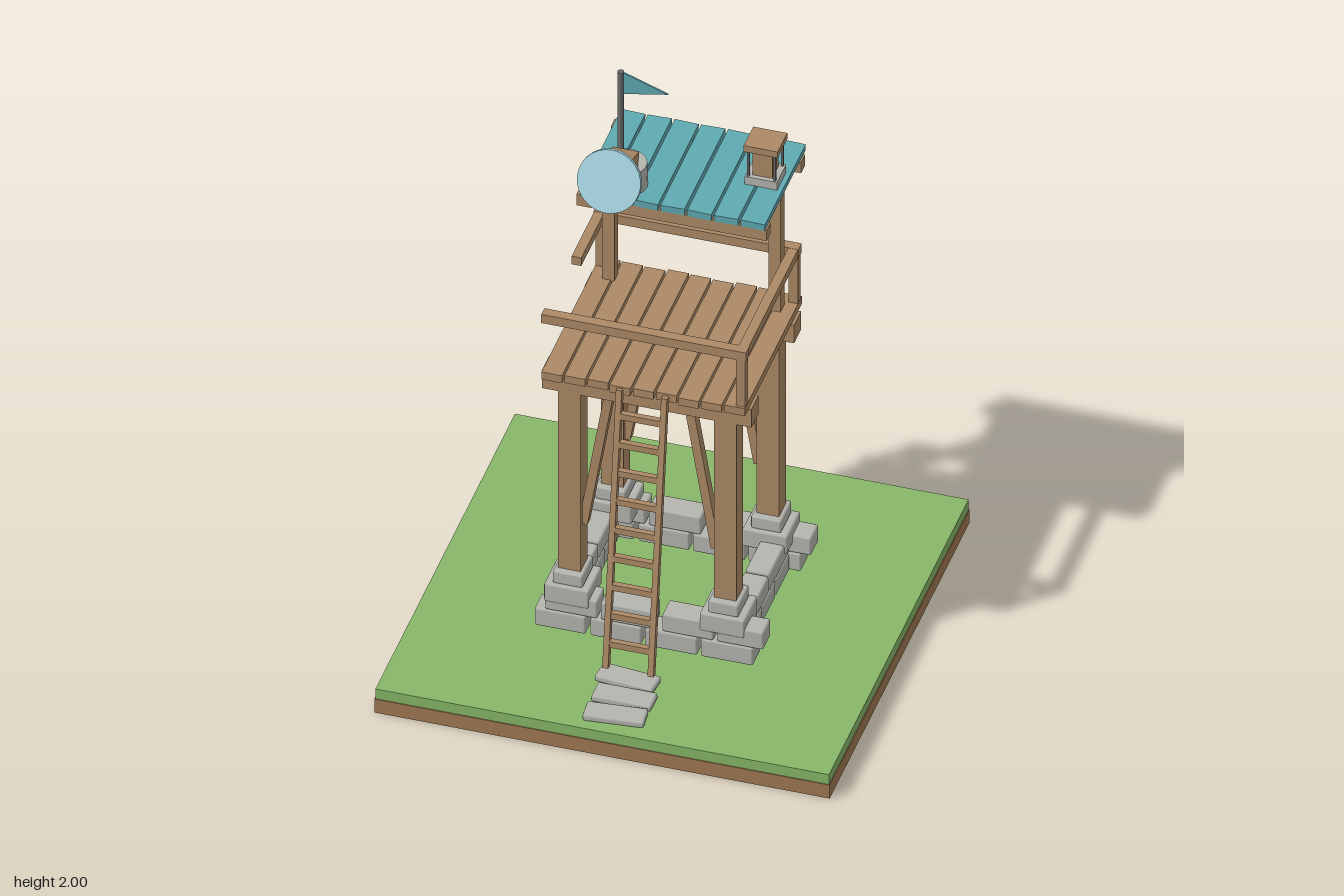
import * as THREE from 'three';
import { RoundedBoxGeometry } from 'three/addons/geometries/RoundedBoxGeometry.js';

const mat = (name, color, side = THREE.FrontSide) => {
  const m = new THREE.MeshStandardMaterial({ color, side });
  m.name = name;
  return m;
};

export function createModel() {
  const model = new THREE.Group();
  model.name = 'watchtower';
  const wood = mat('wood', 0xad8a66);
  const dirt = mat('dirt', 0xa07852);
  const grass = mat('grass', 0x87b868);
  const stone = mat('stone', 0xb5b5b0);
  const teal = mat('teal paint', 0x5faab2, THREE.DoubleSide);
  const glass = mat('pale blue', 0xa3d1dd);
  const metal = mat('dark metal', 0x6c6c6c);

  const group = (name, parent = model) => {
    const g = new THREE.Group();
    g.name = name;
    parent.add(g);
    return g;
  };
  const add = (parent, name, geo, material, x, y, z) => {
    const m = new THREE.Mesh(geo, material);
    m.name = name;
    m.position.set(x, y, z);
    parent.add(m);
    return m;
  };
  // Box given by its extents on each axis
  const box = (parent, name, material, x0, x1, y0, y1, z0, z1) =>
    add(parent, name, new THREE.BoxGeometry(x1 - x0, y1 - y0, z1 - z0), material,
      (x0 + x1) / 2, (y0 + y1) / 2, (z0 + z1) / 2);
  // Chamfered stone block given by its extents
  const block = (parent, name, x0, x1, y0, y1, z0, z1) =>
    add(parent, name, new RoundedBoxGeometry(x1 - x0, y1 - y0, z1 - z0, 1, 0.008), stone,
      (x0 + x1) / 2, (y0 + y1) / 2, (z0 + z1) / 2);
  // Square bar between two points
  const bar = (parent, name, a, b, w, d) => {
    const p = new THREE.Vector3(...a), q = new THREE.Vector3(...b);
    const c = p.clone().add(q).multiplyScalar(0.5);
    const m = add(parent, name, new THREE.BoxGeometry(w, p.distanceTo(q), d), wood, c.x, c.y, c.z);
    m.quaternion.setFromUnitVectors(new THREE.Vector3(0, 1, 0), q.sub(p).normalize());
    return m;
  };

  // Ground slab
  const ground = group('ground');
  box(ground, 'soil', dirt, -0.775, 0.775, 0, 0.055, -0.77, 0.77);
  box(ground, 'turf', grass, -0.772, 0.772, 0.055, 0.095, -0.767, 0.767);

  // Stone foundation ring: two staggered courses
  const foundation = group('foundation');
  const courses = [
    { y: 0.107, xs: [[-0.375, -0.2], [-0.185, -0.01], [0, 0.18], [0.19, 0.37]], zs: [[-0.22, -0.075], [-0.07, 0.07], [0.075, 0.22]] },
    { y: 0.18, xs: [[-0.34, -0.16], [-0.15, 0.03], [0.06, 0.235], [0.245, 0.405]], zs: [[-0.22, -0.005], [0.005, 0.22]] },
  ];
  for (const { y, xs, zs } of courses) {
    for (const s of [-1, 1]) {
      for (const [a, b] of xs) block(foundation, 'wallStone', a, b, y, y + 0.072, s * 0.263 - 0.042, s * 0.263 + 0.042);
      for (const [a, b] of zs) block(foundation, 'sideStone', s * 0.29 - 0.042, s * 0.29 + 0.042, y, y + 0.07, a, b);
    }
  }

  // Legs with footings, cross beams and diagonal braces
  const frame = group('frame');
  for (const sz of [-1, 1]) {
    const z = sz * 0.235;
    for (const sx of [-1, 1]) {
      const x = sx * 0.265;
      block(foundation, 'footing', x - 0.077, x + 0.077, 0.215, 0.288, z - 0.073, z + 0.073);
      block(foundation, 'footingCap', x - 0.052, x + 0.052, 0.285, 0.336, z - 0.06, z + 0.06);
      box(frame, 'leg', wood, x - 0.038, x + 0.038, 0.33, 1.08, z - 0.037, z + 0.037);
      bar(frame, 'brace', [sx * 0.225, 0.52, z], [sx * 0.135, 1.08, z], 0.03, 0.035);
    }
    box(frame, 'crossBeam', wood, -0.358, 0.355, 1.062, 1.136, z - 0.039, z + 0.039);
  }

  // Deck planks
  const deck = group('deck');
  for (let i = 0; i < 9; i++) {
    const x = (i - 4) * 0.0775;
    const d = (i % 3) * 0.004;
    box(deck, 'deckPlank', wood, x - 0.035, x + 0.035, 1.136, 1.166, -0.322 + d, 0.322 - d);
  }

  // Railing: open on part of the left side
  const railing = group('railing');
  for (const [x, z] of [[0.328, 0.29], [0.328, -0.288], [-0.328, -0.288]]) {
    box(railing, 'railPost', wood, x - 0.016, x + 0.016, 1.16, 1.36, z - 0.016, z + 0.016);
  }
  box(railing, 'frontRail', wood, -0.35, 0.347, 1.355, 1.39, 0.272, 0.307);
  box(railing, 'backRail', wood, -0.35, 0.347, 1.355, 1.39, -0.305, -0.27);
  box(railing, 'rightRail', wood, 0.312, 0.345, 1.356, 1.389, -0.3, 0.3);
  box(railing, 'leftRail', wood, -0.348, -0.315, 1.356, 1.389, -0.3, -0.02);

  // Ladder leaning on the front edge
  const ladder = group('ladder');
  const ladderZ = (y) => 0.475 - (y - 0.13) * 0.146;
  for (const s of [-1, 1]) {
    bar(ladder, 'ladderRail', [s * 0.077, 0.13, ladderZ(0.13)], [s * 0.077, 1.16, ladderZ(1.16)], 0.02, 0.024);
  }
  for (let i = 0; i < 9; i++) {
    const y = 0.22 + i * 0.1055;
    box(ladder, 'rung', wood, -0.075, 0.075, y - 0.012, y + 0.012, ladderZ(y) - 0.01, ladderZ(y) + 0.01);
  }

  // Stepping stones
  const path = group('path');
  for (const [x, z, turn] of [[0, 0.485, -0.1], [0.018, 0.582, 0], [0.018, 0.68, 0.09]]) {
    block(path, 'steppingStone', -0.102, 0.102, 0.093, 0.118, -0.041, 0.041)
      .position.set(x, 0.106, z);
    path.children.at(-1).rotation.y = turn;
  }

  // Plank roof on two posts
  const roof = group('roof');
  for (const s of [-1, 1]) {
    box(roof, 'roofPost', wood, s * 0.283 - 0.021, s * 0.283 + 0.021, 1.16, 1.655, -0.254, -0.212);
  }
  for (const z of [-0.03, -0.408]) {
    box(roof, 'roofBeam', wood, -0.328, 0.32, 1.612, 1.656, z - 0.022, z + 0.022);
  }
  for (let i = 0; i < 7; i++) {
    const x = (i - 3) * 0.091;
    const m = box(roof, 'roofPlank', teal, x - 0.041, x + 0.041, 1.655, 1.68, -0.455, -0.005);
    m.rotation.z = (i % 2 ? 1 : -1) * 0.03;
  }

  // Lantern
  const lantern = group('lantern');
  lantern.position.set(0.243, 0, -0.242);
  box(lantern, 'lanternBase', stone, -0.055, 0.055, 1.68, 1.712, -0.05, 0.05);
  box(lantern, 'lanternCore', wood, -0.034, 0.034, 1.71, 1.82, -0.034, 0.034);
  box(lantern, 'lanternCap', wood, -0.058, 0.058, 1.815, 1.84, -0.053, 0.053);
  for (const sx of [-1, 1]) for (const sz of [-1, 1]) {
    add(lantern, 'lanternRod', new THREE.CylinderGeometry(0.005, 0.005, 0.11, 6), metal, sx * 0.045, 1.765, sz * 0.042);
  }

  // Signal lamp: drum, tilted arm and round lens
  const lamp = group('signalLamp');
  lamp.position.set(-0.185, 0, 0);
  add(lamp, 'drum', new THREE.CylinderGeometry(0.072, 0.075, 0.088, 20), stone, 0, 1.722, -0.083);
  const head = group('lampHead', lamp);
  head.position.set(0, 1.807, 0);
  head.rotation.x = -0.3;
  box(head, 'lampArm', wood, -0.046, 0.046, -0.034, 0.034, -0.083, 0.085);
  const lens = add(lamp, 'lens', new THREE.CylinderGeometry(0.108, 0.108, 0.018, 28), glass, 0, 1.816, 0.09);
  lens.rotation.x = Math.PI / 2 - 0.37;

  // Flag
  const flag = group('flag');
  flag.position.set(-0.252, 0, -0.25);
  add(flag, 'flagPole', new THREE.CylinderGeometry(0.011, 0.011, 0.325, 8), metal, 0, 1.8375, 0);
  const pennant = new THREE.Shape([[0.01, 1.998], [0.01, 1.912], [0.162, 1.943]].map(([x, y]) => new THREE.Vector2(x, y)));
  add(flag, 'pennant', new THREE.ExtrudeGeometry(pennant, { depth: 0.006, bevelEnabled: false }), teal, 0, 0, -0.003);

  return model;
}
